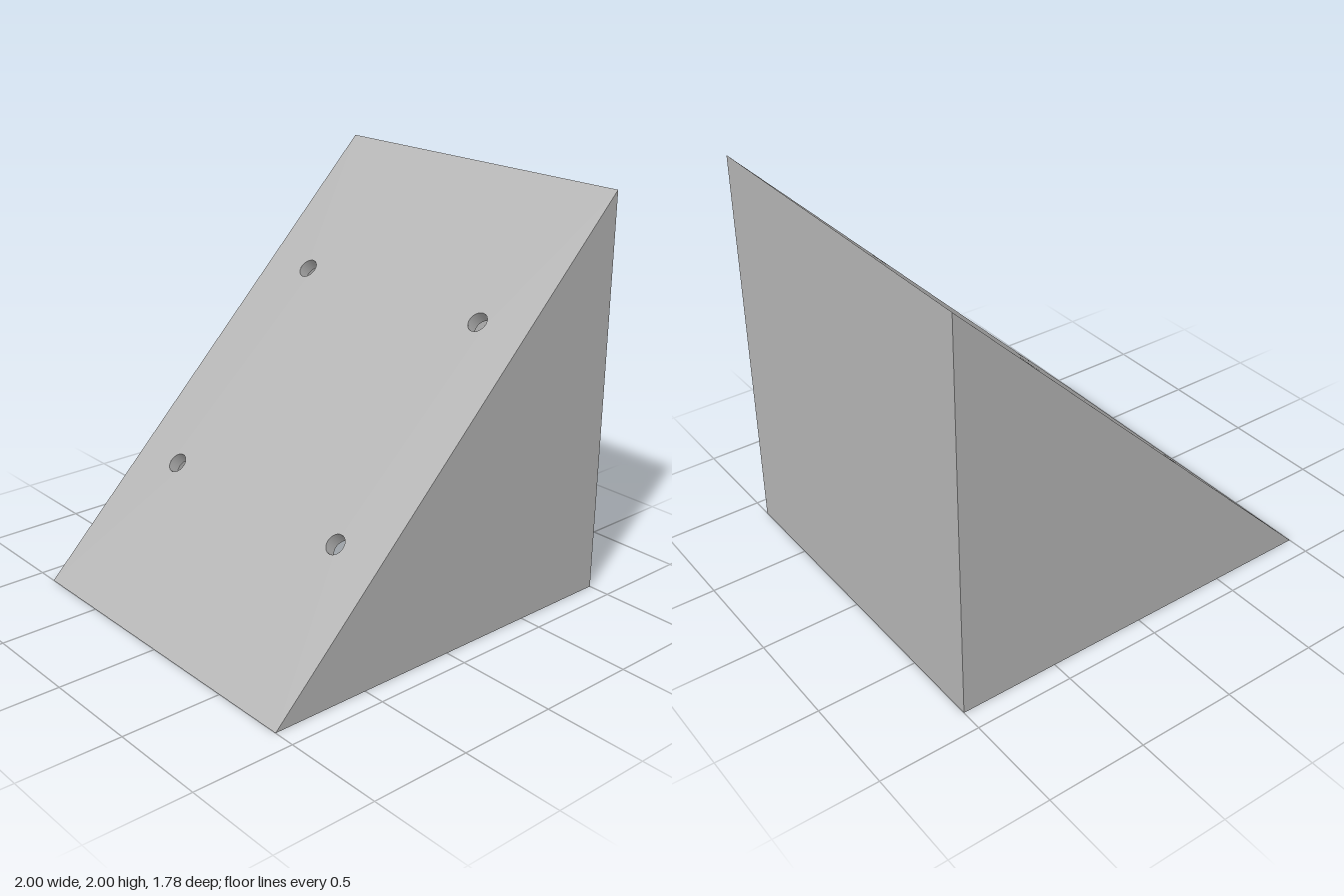
import * as THREE from 'three';

const W = 0.89;            // half width along z
const T = 0.067;           // wall thickness
const R = 0.05;            // screw hole radius
const S = Math.SQRT1_2;
const L = Math.SQRT2;      // half length of the slope
const HOLES = [[-0.6, -0.6], [0.6, -0.6], [-0.6, 0.6], [0.6, 0.6]]; // across, along the slope

const X = new THREE.Vector3(1, 0, 0);
const Y = new THREE.Vector3(0, 1, 0);
const Z = new THREE.Vector3(0, 0, 1);
const UP_SLOPE = new THREE.Vector3(S, S, 0);
const NORMAL = new THREE.Vector3(-S, S, 0);

const shapeOf = (pts) => new THREE.Shape(pts.map(([x, y]) => new THREE.Vector2(x, y)));
const rect = (x0, y0, x1, y1) => shapeOf([[x0, y0], [x1, y0], [x1, y1], [x0, y1]]);

export function createModel() {
  const model = new THREE.Group();
  model.name = 'wedgeBracket';
  const grey = new THREE.MeshStandardMaterial({ color: 0xb4b4b4, side: THREE.DoubleSide });
  grey.name = 'grey';

  // Flat face drawn in the plane of u and v, facing u x v
  function face(name, parent, shape, origin, u, v) {
    const m = new THREE.Matrix4().makeBasis(u, v, u.clone().cross(v)).setPosition(origin);
    const mesh = new THREE.Mesh(new THREE.ShapeGeometry(shape, 32).applyMatrix4(m), grey);
    mesh.name = name;
    parent.add(mesh);
  }
  function part(name) {
    const g = new THREE.Group();
    g.name = name;
    model.add(g);
    return g;
  }
  function drilled(shape) {
    for (const [x, y] of HOLES) shape.holes.push(new THREE.Path().absarc(x, y, R, 0, Math.PI * 2, true));
    return shape;
  }

  const innerX0 = -1 + T * L, innerX1 = 1 - T, innerW = W - T;
  const innerTop = innerX1 - innerX0;
  const negX = X.clone().negate(), negZ = Z.clone().negate();

  // Sloping panel with four screw holes
  const slope = part('slopingPanel');
  const mid = new THREE.Vector3(0, 1, 0);
  const innerMid = mid.clone().addScaledVector(NORMAL, -T);
  face('slopeOutside', slope, drilled(rect(-W, -L, W, L)), mid, Z, UP_SLOPE);
  face('slopeInside', slope, drilled(rect(-innerW, -L + T, innerW, L * (1 - T) - T)), innerMid, negZ, UP_SLOPE);
  for (const [across, along] of HOLES) {
    const bore = new THREE.Mesh(new THREE.CylinderGeometry(R, R, T, 32, 1, true), grey);
    bore.name = 'screwHole';
    bore.quaternion.setFromUnitVectors(Y, NORMAL);
    bore.position.copy(mid).addScaledVector(NORMAL, -T / 2)
      .addScaledVector(UP_SLOPE, along).addScaledVector(Z, across);
    slope.add(bore);
  }

  // Triangular front and back walls
  const outerTri = (s) => shapeOf([[-s, 0], [s, 0], [s, 2]]);
  const innerTri = (s) => shapeOf([[s * innerX0, 0], [s * innerX1, 0], [s * innerX1, innerTop]]);
  const front = part('frontWall'), back = part('backWall');
  face('frontOutside', front, outerTri(1), new THREE.Vector3(0, 0, W), X, Y);
  face('frontInside', front, innerTri(-1), new THREE.Vector3(0, 0, innerW), negX, Y);
  face('backOutside', back, outerTri(-1), new THREE.Vector3(0, 0, -W), negX, Y);
  face('backInside', back, innerTri(1), new THREE.Vector3(0, 0, -innerW), X, Y);

  // Upright wall
  const upright = part('uprightWall');
  face('uprightOutside', upright, rect(-W, 0, W, 2), new THREE.Vector3(1, 0, 0), negZ, Y);
  face('uprightInside', upright, rect(-innerW, 0, innerW, innerTop), new THREE.Vector3(innerX1, 0, 0), Z, Y);

  // Rim around the open underside
  const rim = rect(-1, -W, 1, W);
  rim.holes.push(rect(innerX0, -innerW, innerX1, innerW));
  face('bottomRim', model, rim, new THREE.Vector3(0, 0, 0), X, Z);

  return model;
}
